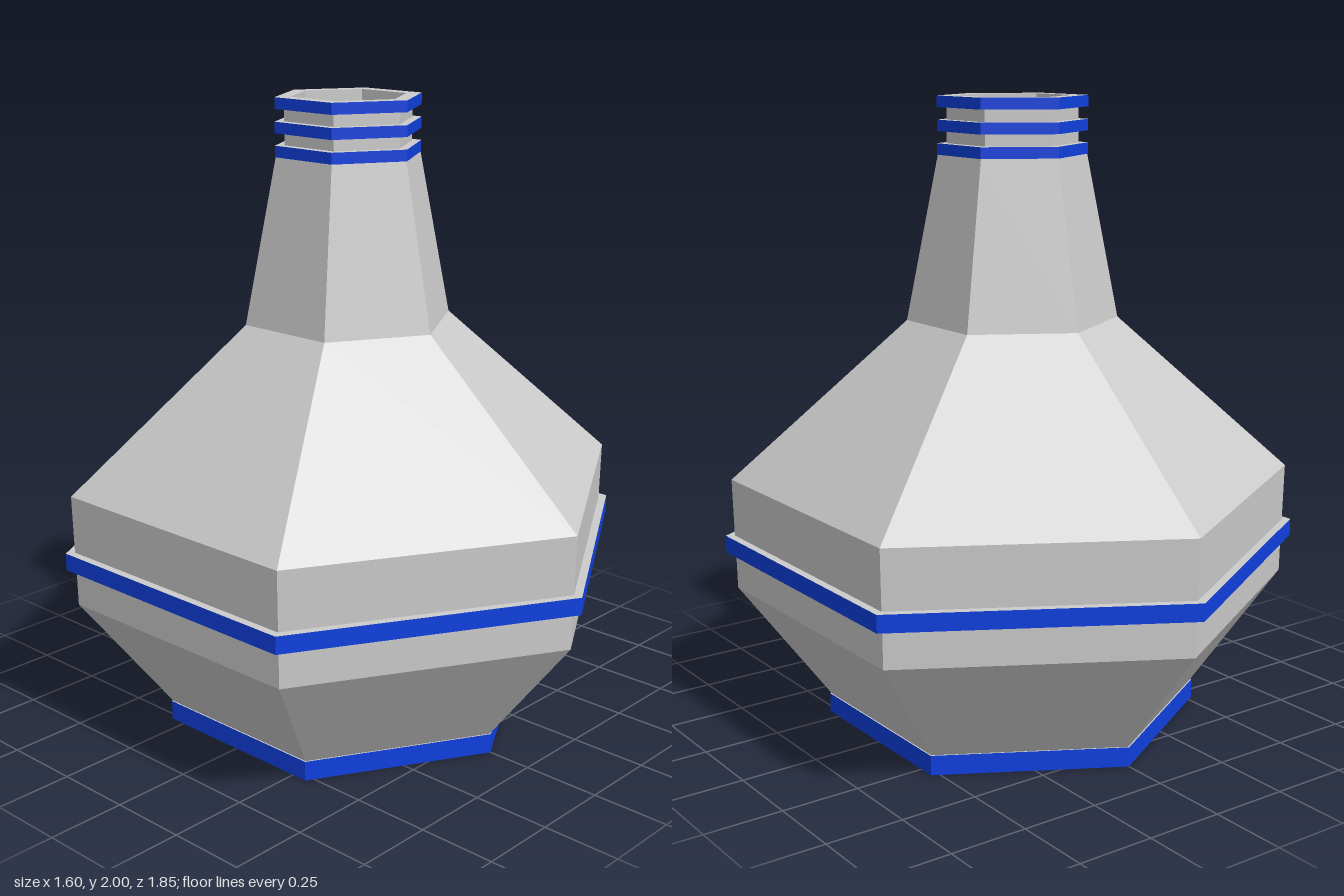
import * as THREE from 'three';

const grey = new THREE.MeshStandardMaterial({ color: 0xcccccc, flatShading: true });
const blue = new THREE.MeshStandardMaterial({ color: 0x0f40e0, flatShading: true });

// Six-sided turned surface, corners on +z and -z; profile points are [radius, y]
function hex(name, material, profile) {
  const points = profile.map(([r, y]) => new THREE.Vector2(r, y));
  const mesh = new THREE.Mesh(new THREE.LatheGeometry(points, 6), material);
  mesh.name = name;
  return mesh;
}

export function createModel() {
  const model = new THREE.Group();
  model.name = 'flask';

  const FOOT = 0.605, BAND = 0.925, RING = 0.235, NECK = 0.205, MOUTH = 0.185;

  // Foot: recessed underside with a painted edge
  model.add(hex('underside', grey, [[0, 0.04], [0.417, 0.04], [0.417, 0], [FOOT, 0]]));
  model.add(hex('footBand', blue, [[FOOT, 0], [FOOT, 0.063]]));

  // Body below and above the belly band
  model.add(hex('lowerBody', grey, [[FOOT, 0.063], [0.6, 0.063], [0.892, 0.44], [0.894, 0.56], [BAND, 0.56]]));
  model.add(hex('bellyBand', blue, [[BAND, 0.56], [BAND, 0.615]]));
  model.add(hex('upperBody', grey, [[BAND, 0.615], [0.896, 0.615], [0.9, 0.8], [0.335, 1.305], [0.233, 1.82], [RING, 1.82]]));

  // Three painted neck rings with grooves between them
  const rings = [[1.82, 1.855], [1.892, 1.927], [1.965, 2]];
  rings.forEach(([low, high], i) => {
    model.add(hex(`neckRing${i + 1}`, blue, [[RING, low], [RING, high]]));
    const next = rings[i + 1];
    if (next) {
      model.add(hex(`neckGroove${i + 1}`, grey, [[RING, high], [NECK, high], [NECK, next[0]], [RING, next[0]]]));
    }
  });

  // Rim, straight inner wall and the filling at its bottom
  const level = 1.3;
  model.add(hex('mouth', grey, [[RING, 2], [MOUTH, 2], [MOUTH, level]]));
  model.add(hex('filling', blue, [[MOUTH, level], [0, level]]));

  return model;
}
